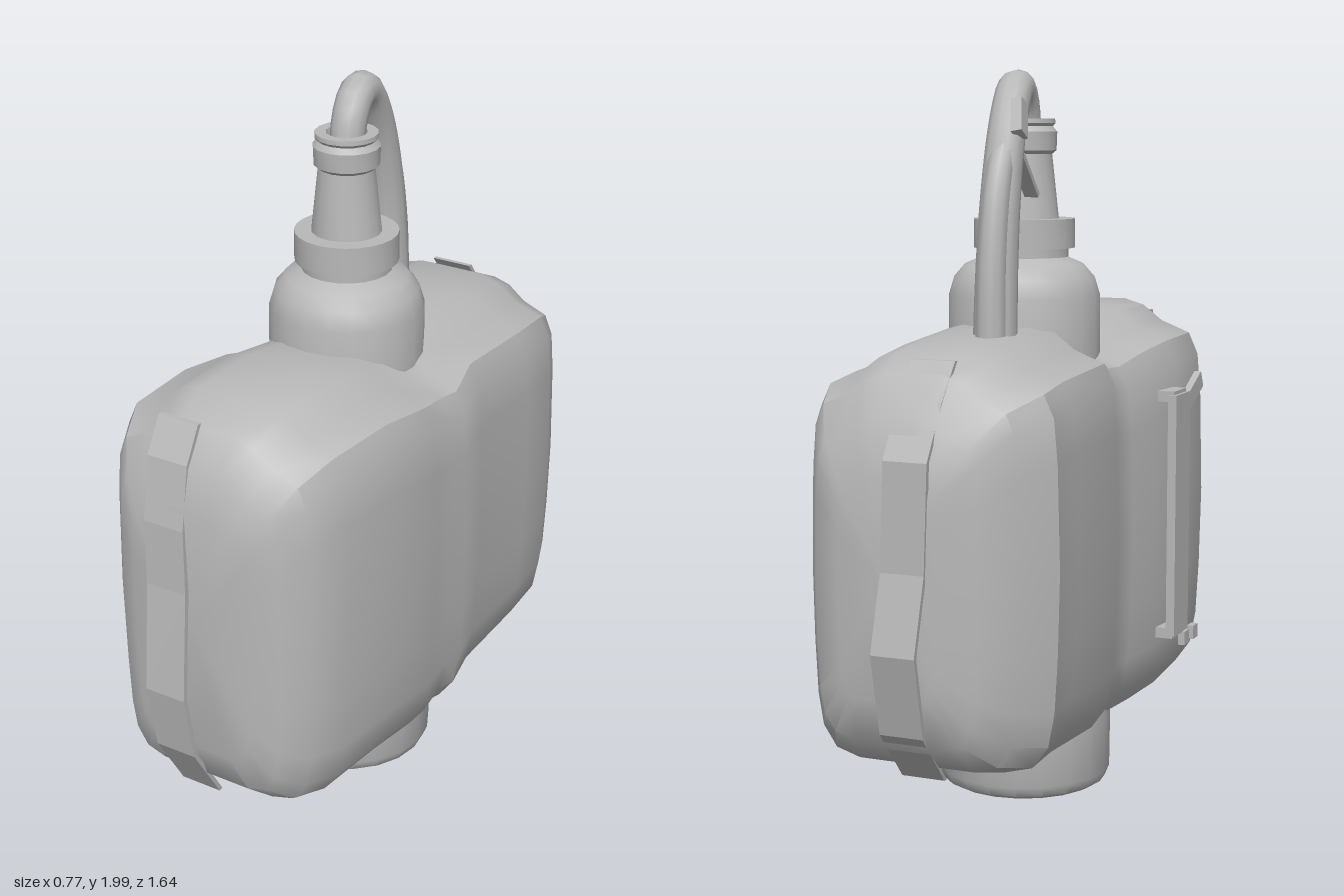
import * as THREE from 'three';
import { mergeVertices, toCreasedNormals } from 'three/addons/utils/BufferGeometryUtils.js';

const grey = new THREE.MeshStandardMaterial({ color: 0xb8b8b8 });
grey.name = 'plain grey';

function add(group, name, geometry) {
  const mesh = new THREE.Mesh(geometry, grey);
  mesh.name = name;
  group.add(mesh);
  return mesh;
}

// Skin a list of equal-sized point loops and close both ends.
function loft(rings, crease) {
  const n = rings[0].length, pos = [], idx = [];
  rings.forEach(r => r.forEach(p => pos.push(p.x, p.y, p.z)));
  for (let i = 0; i < rings.length - 1; i++) {
    for (let j = 0; j < n; j++) {
      const a = i * n + j, b = i * n + (j + 1) % n;
      idx.push(a, b, b + n, a, b + n, a + n);
    }
  }
  [0, rings.length - 1].forEach(i => {
    const c = new THREE.Vector3();
    rings[i].forEach(p => c.addScaledVector(p, 1 / n));
    const k = pos.length / 3;
    pos.push(c.x, c.y, c.z);
    for (let j = 0; j < n; j++) {
      const a = i * n + j, b = i * n + (j + 1) % n;
      if (i === 0) idx.push(k, b, a); else idx.push(k, a, b);
    }
  });
  const g = new THREE.BufferGeometry();
  g.setAttribute('position', new THREE.Float32BufferAttribute(pos, 3));
  g.setIndex(idx);
  return toCreasedNormals(mergeVertices(g), crease);
}

// Pouch: one shouldered section scaled along z.
function pouchGeometry() {
  const half = [[0, 0], [0.55, 0], [0.78, 0.02], [0.91, 0.075], [0.96, 0.16], [0.985, 0.3], [1, 0.5],
    [0.98, 0.75], [0.95, 0.86], [0.87, 0.915], [0.62, 0.945], [0.45, 0.985], [0.28, 1], [0, 1]];
  const section = half.concat(half.slice(1, -1).reverse().map(([u, v]) => [-u, v]));
  // z, left edge, right edge, bottom, top
  const stations = [
    [-0.77, -0.1, 0.17, 0.42, 0.98], [-0.735, -0.2, 0.25, 0.3, 1.13], [-0.66, -0.28, 0.3, 0.23, 1.23],
    [-0.56, -0.345, 0.34, 0.205, 1.275], [-0.4, -0.33, 0.35, 0.2, 1.29], [-0.12, -0.335, 0.352, 0.19, 1.31],
    [0, -0.3, 0.375, 0.185, 1.28], [0.06, -0.31, 0.36, 0.187, 1.28], [0.18, -0.335, 0.385, 0.193, 1.31],
    [0.35, -0.35, 0.368, 0.2, 1.33], [0.58, -0.335, 0.352, 0.21, 1.33], [0.68, -0.29, 0.31, 0.23, 1.28],
    [0.74, -0.24, 0.25, 0.28, 1.19], [0.77, -0.18, 0.18, 0.38, 1.08]];
  const rings = stations.map(([z, l, r, b, t]) => section.map(([u, v]) =>
    new THREE.Vector3((l + r) / 2 + u * (r - l) / 2, b + v * (t - b), z)));
  return loft(rings, 0.6);
}

// Hose: a tube that widens and flattens as it comes down.
function hoseGeometry(points, r0, r1, sides = 12, steps = 28) {
  const curve = new THREE.CatmullRomCurve3(points.map(p => new THREE.Vector3(...p)));
  const rings = [];
  for (let i = 0; i <= steps; i++) {
    const t = i / steps, c = curve.getPointAt(t), dir = curve.getTangentAt(t);
    const side = new THREE.Vector3(1, 0, 0).addScaledVector(dir, -dir.x).normalize();
    const up = new THREE.Vector3().crossVectors(dir, side);
    const r = r0 + (r1 - r0) * t;
    rings.push(Array.from({ length: sides }, (_, j) => {
      const a = j / sides * Math.PI * 2;
      return c.clone().addScaledVector(side, Math.cos(a) * r).addScaledVector(up, Math.sin(a) * r);
    }));
  }
  return loft(rings, 1);
}

// Strap: a side-view ribbon of [z, y] points, extruded in x and shifted by height.
function strapGeometry(path, width, centre) {
  const thick = 0.014 * Math.sign(path[0][0]);
  const inner = path.map(([z, y]) => [z - thick, y]).reverse();
  const shape = new THREE.Shape(path.concat(inner).map(p => new THREE.Vector2(...p)));
  const g = new THREE.ExtrudeGeometry(shape, { depth: width, bevelEnabled: false });
  g.rotateY(-Math.PI / 2);
  const p = g.attributes.position;
  for (let i = 0; i < p.count; i++) p.setX(i, p.getX(i) + width / 2 + centre(p.getY(i)));
  g.computeVertexNormals();
  return g;
}

export function createModel() {
  const model = new THREE.Group();
  model.name = 'bottleInPouch';

  add(model, 'pouch', pouchGeometry());

  // Bottle standing through the pouch
  const lathe = (name, profile, sides, crease = 0.7) => {
    const g = new THREE.LatheGeometry(profile.map(p => new THREE.Vector2(...p)), sides);
    g.deleteAttribute('uv');
    g.deleteAttribute('normal');
    const mesh = add(model, name, toCreasedNormals(mergeVertices(g), crease));
    mesh.position.set(0.003, 0, 0.025);
  };
  lathe('bottle', [[0, 0], [0.21, 0], [0.232, 0.012], [0.243, 0.04], [0.245, 0.2], [0.225, 0.8], [0.211, 1.2],
    [0.21, 1.38], [0.195, 1.43], [0.165, 1.465], [0.13, 1.48], [0.122, 1.485], [0.122, 1.52], [0, 1.52]], 20);
  lathe('collar', [[0, 1.51], [0.14, 1.51], [0.14, 1.59], [0.1, 1.59], [0, 1.59]], 24);
  lathe('nozzle', [[0.096, 1.58], [0.076, 1.765], [0.088, 1.775], [0.09, 1.825], [0.078, 1.84],
    [0.085, 1.848], [0.084, 1.86], [0.055, 1.86], [0.05, 1.83], [0, 1.83]], 16);

  // Hose loop from the nozzle down to the pouch
  add(model, 'hose', hoseGeometry([[0.0, 1.8, 0.018], [-0.002, 1.88, 0.005], [-0.01, 1.94, -0.045],
    [-0.025, 1.93, -0.11], [-0.035, 1.83, -0.18], [-0.04, 1.65, -0.235], [-0.04, 1.45, -0.26],
    [-0.04, 1.23, -0.272]], 0.046, 0.06));
  add(model, 'hoseSecondStrand', hoseGeometry([[-0.04, 1.82, -0.19], [-0.045, 1.7, -0.26],
    [-0.045, 1.5, -0.3], [-0.045, 1.23, -0.31]], 0.035, 0.042, 10, 12));
  const clip = add(model, 'hoseClip', new THREE.BoxGeometry(0.04, 0.15, 0.014));
  clip.position.set(-0.06, 1.71, -0.12);
  clip.rotation.x = -0.75;
  const tab = add(model, 'hoseTab', new THREE.BoxGeometry(0.03, 0.1, 0.05));
  tab.position.set(-0.075, 1.86, -0.19);
  tab.rotation.set(0.5, 0, -0.2);

  // Straps over both narrow ends
  add(model, 'frontStrap', strapGeometry([[0.69, 1.29], [0.745, 1.2], [0.779, 1.03], [0.785, 0.85], [0.82, 0.55],
    [0.79, 0.36], [0.69, 0.19]], 0.12, y => -0.05 - 0.024 * (y - 0.2)));
  add(model, 'backStrap', strapGeometry([[-0.63, 1.265], [-0.7, 1.17], [-0.778, 1.03], [-0.778, 0.75], [-0.822, 0.55],
    [-0.76, 0.33], [-0.625, 0.185]], 0.12, y => 0.005 - 0.035 * (y - 0.2)));

  // Side grip and its small fasteners
  add(model, 'sideGrip', new THREE.BoxGeometry(0.025, 0.69, 0.12)).position.set(-0.372, 0.75, 0.26);
  for (const y of [0.41, 1.09])
    add(model, 'gripMount', new THREE.BoxGeometry(0.06, 0.03, 0.1)).position.set(-0.345, y, 0.26);
  const buckle = add(model, 'upperFastener', new THREE.BoxGeometry(0.02, 0.05, 0.14));
  buckle.position.set(-0.352, 1.08, 0.43);
  buckle.rotation.x = -0.45;
  for (const z of [0.38, 0.46])
    add(model, 'lowerFastener', new THREE.BoxGeometry(0.02, 0.04, 0.04)).position.set(-0.352, 0.36, z);

  return model;
}
